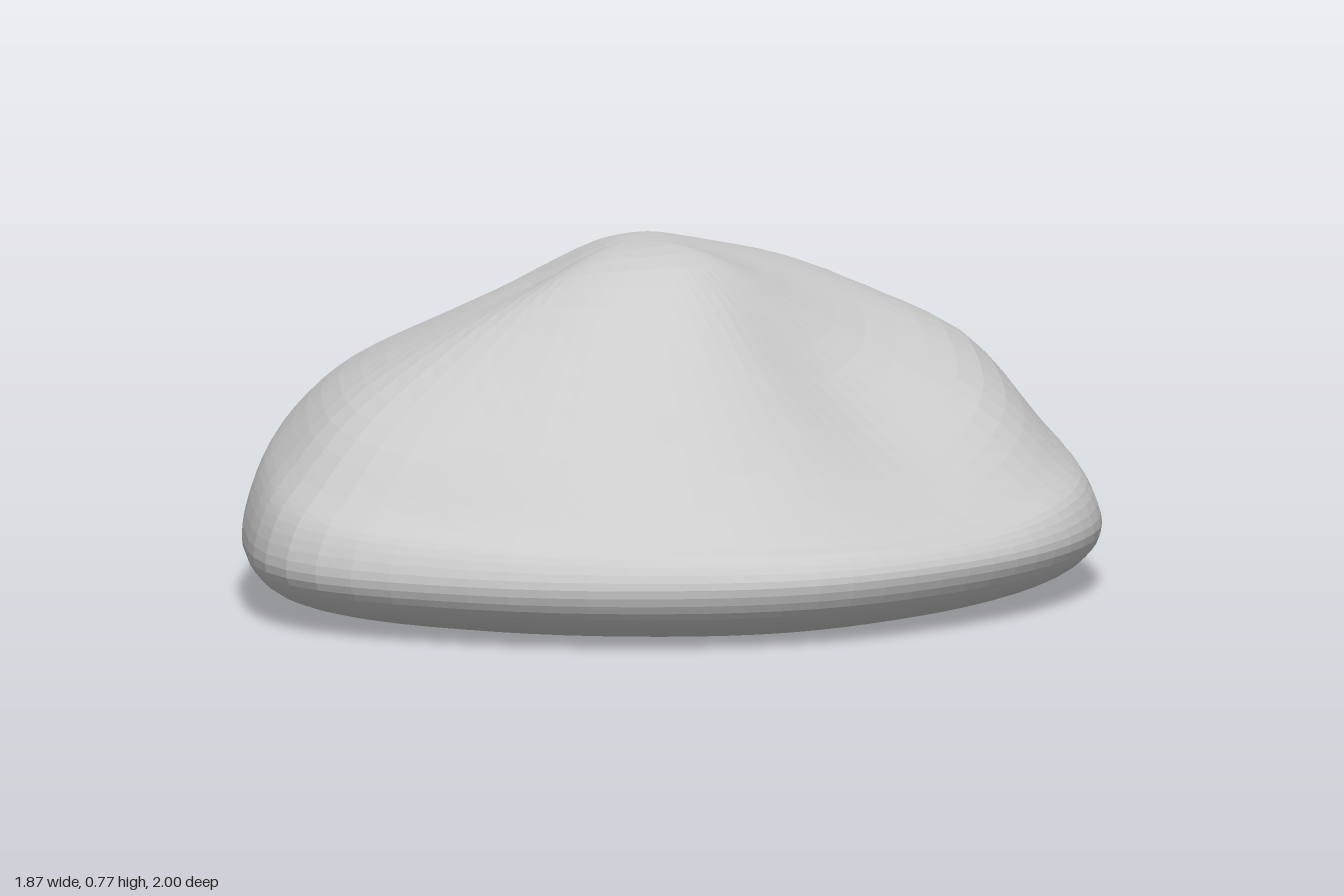
import * as THREE from 'three';

// Rim radius every 22.5 degrees, from +x round through +z
const RIM = [0.932, 0.922, 0.928, 0.972, 0.998, 1.045, 1.1, 0.99,
  0.935, 0.985, 1.057, 1.02, 0.988, 1.035, 0.982, 0.925];

// Heights every 30 degrees, at 25, 50, 75 and 90 percent of the way to the rim
const HEIGHTS = [
  [0.722, 0.57, 0.445, 0.30],
  [0.74, 0.515, 0.33, 0.235],
  [0.75, 0.57, 0.35, 0.235],
  [0.747, 0.60, 0.39, 0.26],
  [0.73, 0.60, 0.425, 0.285],
  [0.69, 0.60, 0.48, 0.345],
  [0.69, 0.595, 0.49, 0.375],
  [0.695, 0.585, 0.465, 0.35],
  [0.732, 0.59, 0.43, 0.305],
  [0.75, 0.615, 0.43, 0.295],
  [0.742, 0.66, 0.475, 0.315],
  [0.73, 0.645, 0.53, 0.355],
];
const COLUMNS = [0, 1, 2, 3].map((c) => HEIGHTS.map((row) => row[c]));
const PEAK = { x: -0.1, y: 0.778, z: 0.04 };
const AROUND = 72;
const DOWN = 44;

// Smooth periodic interpolation of values spread evenly round the circle
function sample(values, angle) {
  const n = values.length;
  const f = ((angle / (Math.PI * 2)) * n) % n;
  const i = Math.floor(f);
  const u = f - i;
  const [a, b, c, d] = [-1, 0, 1, 2].map((k) => values[(i + k + n) % n]);
  return b + 0.5 * u * (c - a + u * (2 * a - 5 * b + 4 * c - d + u * (3 * (b - c) + d - a)));
}

// Section from the peak over the rounded rim and under to the middle of the base
function sectionAt(angle) {
  const h = COLUMNS.map((column) => sample(column, angle));
  const pts = [
    [-0.25, sample(COLUMNS[0], angle + Math.PI)],
    [0, PEAK.y],
    [0.25, h[0]], [0.5, h[1]], [0.75, h[2]], [0.9, h[3]],
    [0.968, 0.16 + (h[3] - 0.15) * 0.5],
    [1, 0.15], [0.968, 0.09], [0.89, 0.052], [0.74, 0.028], [0.4, 0.022], [0, 0.022],
  ].map(([t, y]) => new THREE.Vector3(t, y, 0));
  const curve = new THREE.CatmullRomCurve3(pts, false, 'catmullrom', 0.5);
  const start = 1 / (pts.length - 1);
  return Array.from({ length: DOWN + 1 }, (_, j) =>
    curve.getPoint(start + (1 - start) * (j / DOWN)));
}

function rockGeometry() {
  const positions = [];
  const index = [];
  for (let i = 0; i < AROUND; i++) {
    const angle = (i / AROUND) * Math.PI * 2;
    const r = sample(RIM, angle);
    const ex = Math.cos(angle) * r;
    const ez = Math.sin(angle) * r;
    sectionAt(angle).forEach(({ x: t, y }) => {
      const x = PEAK.x * (1 - t) + ex * t;
      const z = PEAK.z * (1 - t) + ez * t;
      // The underside dips slightly toward the front left
      const low = Math.max(0, 1 - y / 0.15);
      positions.push(x, y - (0.012 * x + 0.022 * z) * low, z);
    });
    const next = (i + 1) % AROUND;
    for (let j = 0; j < DOWN; j++) {
      const a = i * (DOWN + 1) + j;
      const b = next * (DOWN + 1) + j;
      if (j > 0) index.push(a, b, a + 1);
      if (j < DOWN - 1) index.push(b, b + 1, a + 1);
    }
  }
  const geometry = new THREE.BufferGeometry();
  geometry.setAttribute('position', new THREE.Float32BufferAttribute(positions, 3));
  geometry.setIndex(index);

  // Centre and stand on the ground
  geometry.computeBoundingBox();
  const { min, max } = geometry.boundingBox;
  geometry.translate(-(min.x + max.x) / 2, -min.y, -(min.z + max.z) / 2);
  geometry.computeVertexNormals();
  return geometry;
}

export function createModel() {
  const group = new THREE.Group();
  group.name = 'boulder';
  const rock = new THREE.Mesh(
    rockGeometry(),
    new THREE.MeshStandardMaterial({ color: 0xcccccc, flatShading: true }),
  );
  rock.name = 'rock';
  group.add(rock);
  return group;
}
